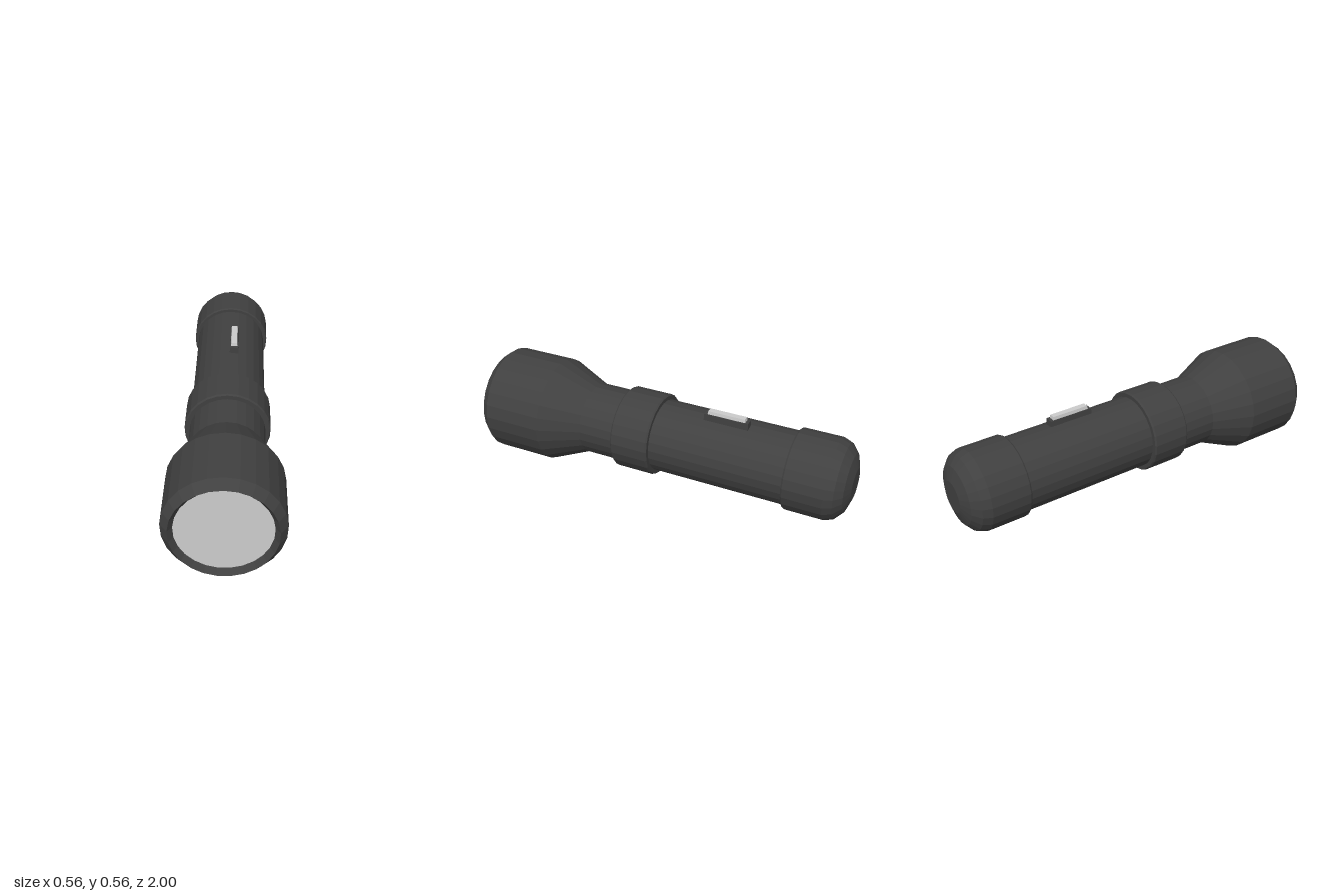
import * as THREE from 'three';

const SIDES = 25;
const AXIS_Y = 0.279;

export function createModel() {
  const group = new THREE.Group();
  const dark = new THREE.MeshStandardMaterial({ color: 0x404040, flatShading: true });
  const light = new THREE.MeshStandardMaterial({ color: 0xcccccc, flatShading: true });

  const add = (name, geometry, material) => {
    const mesh = new THREE.Mesh(geometry, material);
    mesh.name = name;
    group.add(mesh);
    return mesh;
  };

  // Turned part along z: profile points are [radius, z], from back to front
  const turned = (name, profile, material = dark) => {
    const points = profile.map(([r, z]) => new THREE.Vector2(r, z));
    const geometry = new THREE.LatheGeometry(points, SIDES, Math.PI);
    geometry.rotateX(Math.PI / 2);
    add(name, geometry, material).position.y = AXIS_Y;
  };

  // Box whose top is narrowed by an inset on every side
  const taperedBox = (name, x, y, z, w, h, d, inset, material) => {
    const geometry = new THREE.BoxGeometry(w, h, d);
    const p = geometry.attributes.position;
    for (let i = 0; i < p.count; i++) {
      if (p.getY(i) > 0) {
        p.setX(i, p.getX(i) - Math.sign(p.getX(i)) * inset);
        p.setZ(i, p.getZ(i) - Math.sign(p.getZ(i)) * inset);
      }
    }
    geometry.computeVertexNormals();
    add(name, geometry, material).position.set(x, y, z);
  };

  // Rounded tail cap with a small step at its front edge
  turned('tailCap', [
    [0, -1], [0.08, -1], [0.15, -0.977], [0.193, -0.94], [0.21, -0.895],
    [0.21, -0.695], [0.205, -0.687], [0.19, -0.687],
  ]);

  // Straight barrel
  turned('barrel', [[0.19, -0.7], [0.19, 0.43]]);

  // Grip ring with chamfered edges
  turned('collar', [
    [0.19, 0.027], [0.211, 0.027], [0.217, 0.035],
    [0.217, 0.227], [0.211, 0.235], [0.19, 0.235],
  ]);

  // Flared head, bevelled rim and the inner lip down to the lens
  turned('head', [
    [0.19, 0.43], [0.28, 0.64], [0.28, 0.955], [0.245, 1], [0.223, 0.97],
  ]);
  turned('lens', [[0.223, 0.97], [0, 0.97]], light);

  // Sliding switch on top
  taperedBox('switchBase', 0.025, 0.477, -0.335, 0.048, 0.042, 0.236, 0.002, dark);
  taperedBox('switchSlider', 0.025, 0.505, -0.335, 0.036, 0.02, 0.2, 0.003, light);

  return group;
}
